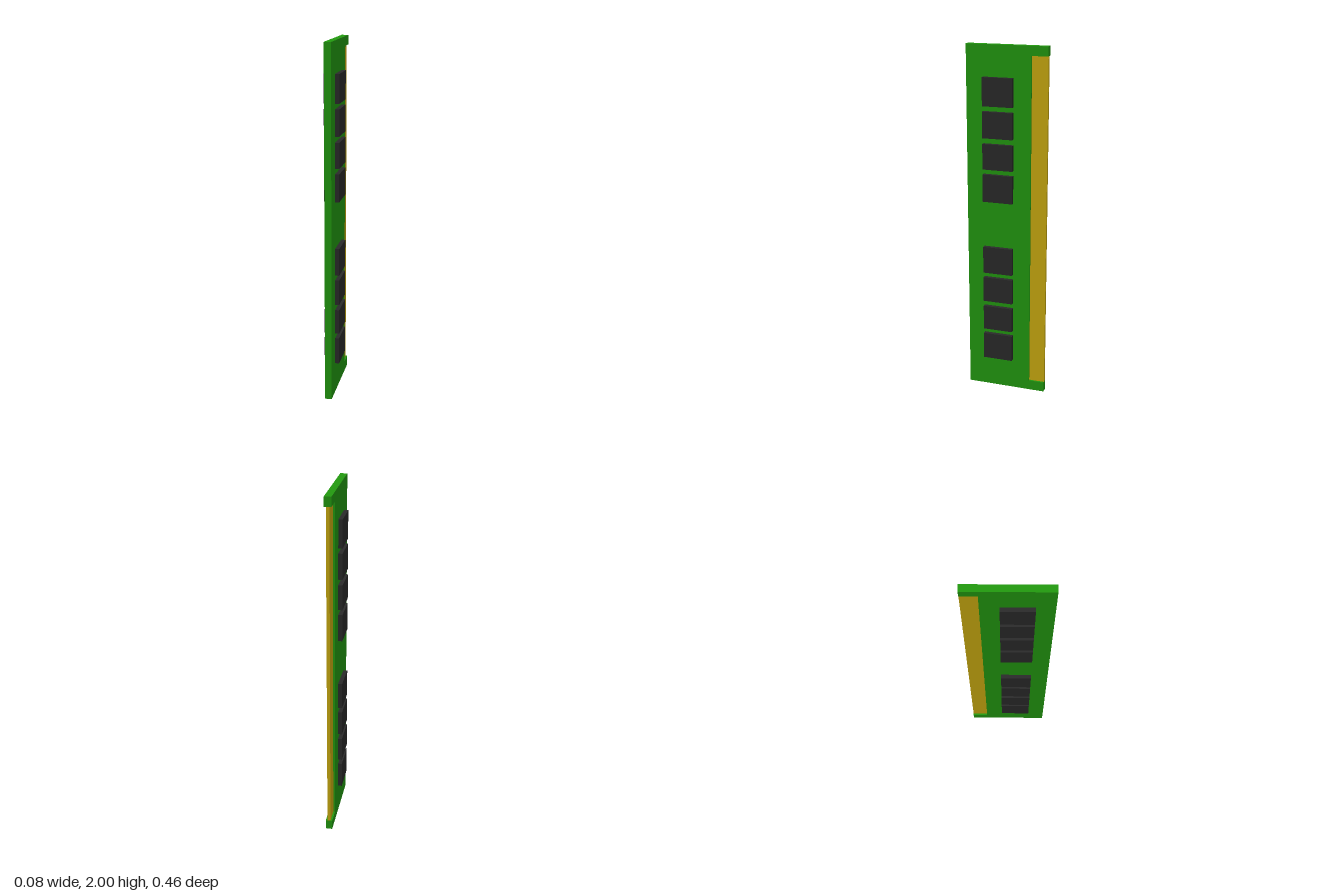
import * as THREE from 'three';

const material = (color) => new THREE.MeshStandardMaterial({ color });

export function createModel() {
  const model = new THREE.Group();
  model.name = 'memoryModule';
  const green = material(0x22990f);
  const gold = material(0xc9aa0f);
  const black = material(0x2a2a2a);

  // Circuit board: a slab with a long notch cut into its back edge.
  // Outline drawn in (-z, y), then turned so the thickness runs along x.
  const half = 0.019;
  const outline = new THREE.Shape([
    [-0.228, 0], [0.228, 0], [0.228, 0.058], [0.138, 0.058],
    [0.138, 1.948], [0.228, 1.948], [0.228, 2], [-0.228, 2],
  ].map(([u, y]) => new THREE.Vector2(u, y)));
  const boardGeometry = new THREE.ExtrudeGeometry(outline, { depth: half * 2, bevelEnabled: false });
  boardGeometry.translate(0, 0, -half).rotateY(Math.PI / 2);
  const board = new THREE.Mesh(boardGeometry, green);
  board.name = 'circuitBoard';
  model.add(board);

  // Thin contact strip filling the notch, recessed on both faces
  const strip = new THREE.Mesh(new THREE.BoxGeometry(0.018, 1.89, 0.09), gold);
  strip.name = 'contactStrip';
  strip.position.set(0, 1.003, -0.183);
  model.add(strip);

  // Two banks of four chips on each face; the outer chips are slightly taller
  const bank = [[0.18, 0.336], [0.365, 0.508], [0.54, 0.686], [0.715, 0.871]];
  const chipDepth = 0.023;
  for (const side of [1, -1]) {
    const chips = new THREE.Group();
    chips.name = side > 0 ? 'leftChips' : 'rightChips';
    for (const lift of [0, 0.958]) {
      for (const [bottom, top] of bank) {
        const chip = new THREE.Mesh(new THREE.BoxGeometry(chipDepth, top - bottom, 0.171), black);
        chip.name = 'memoryChip';
        chip.position.set(side * (half + chipDepth / 2), lift + (bottom + top) / 2, 0.046);
        chips.add(chip);
      }
    }
    model.add(chips);
  }
  return model;
}
